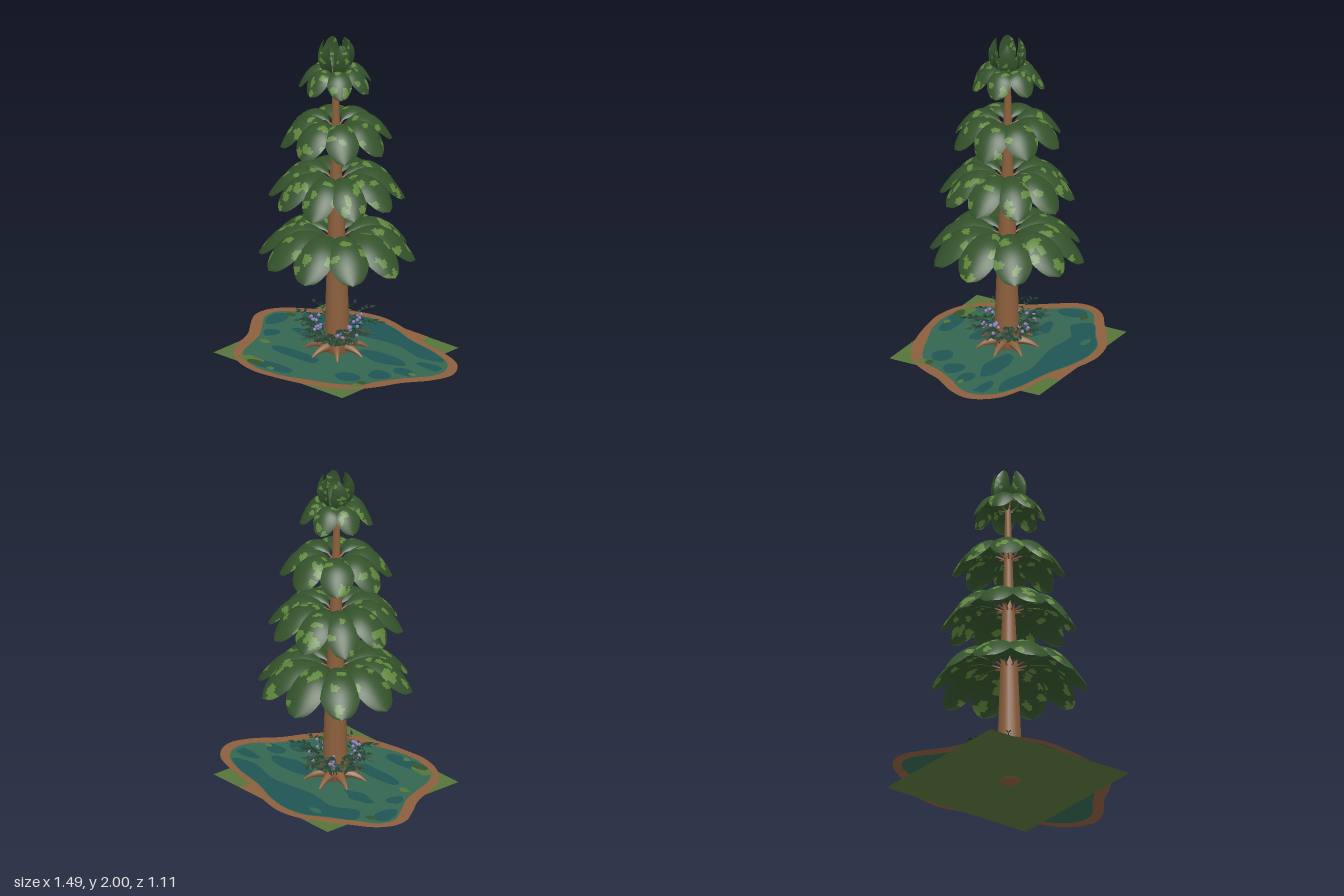
import * as THREE from 'three';
import { mergeGeometries } from 'three/addons/utils/BufferGeometryUtils.js';

const mat = (name, color, side = THREE.FrontSide) => {
  const m = new THREE.MeshStandardMaterial({ color, side });
  m.name = name;
  return m;
};
const D = THREE.DoubleSide;
const M = {
  bark: mat('bark brown', 0x8c5f3c),
  leafDark: mat('dark leaf green', 0x34522b),
  leafLight: mat('light leaf green', 0x5f853c),
  grass: mat('grass green', 0x57743a, D),
  mud: mat('mud brown', 0x8c5f3e, D),
  shallow: mat('shallow water', 0x346651, D),
  deep: mat('deep water', 0x205454, D),
  fern: mat('fern green', 0x22402d, D),
  flower: mat('flower violet', 0x8b7ab4),
};

let seed = 7;
const rand = (a = 0, b = 1) => {
  seed = (seed * 16807) % 2147483647;
  return a + (b - a) * seed / 2147483647;
};
const V = (x, y, z = 0) => new THREE.Vector3(x, y, z);
const mesh = (name, geo, material) => {
  const m = new THREE.Mesh(geo, material);
  m.name = name;
  return m;
};
const bend = (a, b, c) => new THREE.QuadraticBezierCurve3(a, b, c);

// Tube whose radius narrows from r0 to r1
function taperedTube(curve, r0, r1, n = 10, sides = 8) {
  const geo = new THREE.TubeGeometry(curve, n, 1, sides);
  const p = geo.attributes.position, v = V(0, 0);
  for (let k = 0; k < p.count; k++) {
    const t = Math.floor(k / (sides + 1)) / n, c = curve.getPointAt(t);
    v.fromBufferAttribute(p, k).sub(c).multiplyScalar(r0 + (r1 - r0) * t).add(c);
    p.setXYZ(k, v.x, v.y, v.z);
  }
  geo.computeVertexNormals();
  return geo;
}

// Thick curved leaf along a path in the xy plane, with light spots;
// the powers baseP and tipP set how fast it narrows at each end
function leafMesh(path, width, thick, curl, baseP, tipP) {
  const NU = 34, NV = 18, L = path.getLength(), pos = [], tris = [[], []];
  const spots = Array.from({ length: 6 }, () =>
    ({ u: rand(0.2, 1) * L, v: rand(-0.5, 0.5) * width, a: rand(0.1, 0.19) * width, b: rand(0.08, 0.12) * width, t: rand(0, 6) }));
  const shape = u => Math.pow(u, baseP) * Math.pow(1 - u, tipP);
  const scale = width / 2 / shape(baseP / (baseP + tipP));
  const half = u => scale * shape(u);
  const isSpot = (u, v) => spots.some(s => {
    const dx = u * L - s.u, dy = v * half(u) - s.v, c = Math.cos(s.t), n = Math.sin(s.t);
    return Math.hypot((dx * c + dy * n) / s.a, (dy * c - dx * n) / s.b) < 1 + 0.12 * Math.sin(3 * Math.atan2(dy, dx));
  });
  for (const side of [1, -1]) {
    const base = pos.length / 3;
    for (let i = 0; i <= NU; i++) {
      const u = i / NU, p = path.getPoint(u), t = path.getTangent(u), w = half(u);
      for (let j = 0; j <= NV; j++) {
        const v = j / NV * 2 - 1;
        const h = -curl * w * v * v + side * thick / 2 * (1 - v * v) * Math.sin(Math.PI * u);
        pos.push(p.x - t.y * h, p.y + t.x * h, v * w);
        if (i === NU || j === NV) continue;
        const a = base + i * (NV + 1) + j, b = a + 1, c = a + NV + 1, d = c + 1;
        const list = tris[isSpot((i + 0.5) / NU, (j + 0.5) / NV * 2 - 1) ? 1 : 0];
        if (side > 0) list.push(a, b, c, b, d, c);
        else list.push(a, c, b, b, c, d);
      }
    }
  }
  const geo = new THREE.BufferGeometry();
  geo.setAttribute('position', new THREE.Float32BufferAttribute(pos, 3));
  geo.setIndex([...tris[0], ...tris[1]]);
  geo.addGroup(0, tris[0].length, 0);
  geo.addGroup(tris[0].length, tris[1].length, 1);
  geo.computeVertexNormals();
  return mesh('leaf', geo, [M.leafDark, M.leafLight]);
}

// Smooth closed outline through [x, z] points
const outline = (pts, n = 120) => new THREE.CatmullRomCurve3(pts.map(([x, z]) => V(x, -z)), true)
  .getPoints(n).slice(0, n).map(p => new THREE.Vector2(p.x, p.y));
function flat(name, points, y, material, hole) {
  const shape = new THREE.Shape(points);
  if (hole) shape.holes.push(new THREE.Path(hole));
  return mesh(name, new THREE.ShapeGeometry(shape).rotateX(-Math.PI / 2).translate(0, y, 0), material);
}
function blob(name, [x, z, rx, rz], y, material) {
  const pts = Array.from({ length: 9 }, (_, i) => {
    const a = i / 9 * Math.PI * 2, k = rand(0.75, 1.1);
    return [x + Math.cos(a) * rx * k, z + Math.sin(a) * rz * k];
  });
  return flat(name, outline(pts, 40), y, material);
}

function ground() {
  const g = new THREE.Group();
  g.name = 'ground';
  const outer = outline([[-0.135, -0.56], [0.03, -0.53], [0.25, -0.45], [0.49, -0.40], [0.64, -0.34], [0.725, -0.24],
    [0.742, -0.16], [0.70, -0.04], [0.60, 0.10], [0.535, 0.24], [0.47, 0.34], [0.34, 0.44], [0.18, 0.50],
    [-0.015, 0.54], [-0.175, 0.553], [-0.335, 0.51], [-0.455, 0.42], [-0.52, 0.30], [-0.575, 0.16], [-0.675, 0.02],
    [-0.735, -0.08], [-0.737, -0.18], [-0.675, -0.28], [-0.555, -0.365], [-0.435, -0.45], [-0.295, -0.53]]);
  const inner = outline([[-0.135, -0.505], [0.025, -0.48], [0.2, -0.42], [0.46, -0.365], [0.60, -0.30], [0.67, -0.20],
    [0.66, -0.10], [0.56, 0.04], [0.48, 0.18], [0.44, 0.28], [0.32, 0.37], [0.14, 0.44], [0, 0.49],
    [-0.175, 0.505], [-0.315, 0.465], [-0.415, 0.38], [-0.46, 0.26], [-0.515, 0.12], [-0.61, -0.01],
    [-0.68, -0.12], [-0.66, -0.22], [-0.535, -0.305], [-0.395, -0.40], [-0.275, -0.48]]);
  const square = (x0, x1, z0, z1) => [[x0, z0], [x1, z0], [x1, z1], [x0, z1]].map(([x, z]) => new THREE.Vector2(x, -z));
  g.add(flat('grassSquare', square(-0.54, 0.488, -0.524, 0.5), 0.008, M.grass));
  g.add(flat('mudPatch', square(0.03, 0.25, -0.524, -0.44), 0.0095, M.mud));
  g.add(flat('pondRim', outer, 0.011, M.mud, inner));
  g.add(flat('pondWater', inner, 0.011, M.shallow));
  // Deep water along the back, then scattered pools
  g.add(flat('deepWater', outline([[-0.53, -0.3], [-0.39, -0.395], [-0.275, -0.474], [-0.135, -0.5], [0.025, -0.475],
    [0.2, -0.414], [0.46, -0.36], [0.57, -0.3], [0.44, -0.25], [0.2, -0.3], [-0.1, -0.26], [-0.3, -0.28], [-0.45, -0.2]]), 0.0125, M.deep));
  for (const b of [[0.56, -0.19, 0.1, 0.04], [0.5, -0.03, 0.09, 0.045], [0.42, 0.1, 0.08, 0.06], [-0.6, -0.13, 0.06, 0.1],
    [-0.48, 0.05, 0.05, 0.06], [-0.14, 0.43, 0.16, 0.055], [0.3, 0.25, 0.09, 0.07], [-0.15, 0.2, 0.2, 0.05],
    [0.25, -0.1, 0.18, 0.07], [-0.32, -0.08, 0.13, 0.05]]) g.add(blob('deepWater', b, 0.0125, M.deep));
  g.add(blob('shallowPatch', [-0.28, -0.39, 0.05, 0.025], 0.014, M.shallow));
  for (const b of [[0.56, -0.03, 0.03, 0.02], [-0.42, 0.18, 0.04, 0.025], [-0.3, 0.43, 0.09, 0.04],
    [0.43, 0.31, 0.035, 0.03], [-0.12, 0.46, 0.03, 0.02]]) g.add(blob('pondWeed', b, 0.0145, M.grass));
  for (const b of [[-0.25, 0.45, 0.06, 0.03], [-0.57, -0.215, 0.04, 0.025], [0.43, 0.265, 0.03, 0.025]])
    g.add(blob('darkPondWeed', b, 0.016, M.leafDark));
  return g;
}

function undergrowth() {
  const g = new THREE.Group();
  g.name = 'undergrowth';
  const blade = new THREE.ShapeGeometry(new THREE.Shape([[0, 0], [0.02, 0.011], [0.052, 0], [0.02, -0.011]]
    .map(p => new THREE.Vector2(...p)))).rotateX(-Math.PI / 2);
  for (let i = 0; i < 22; i++) {
    const a = i / 22 * Math.PI * 2 + rand(-0.12, 0.12), low = i % 2;
    const r = low ? rand(0.16, 0.21) : rand(0.2, 0.255), y = low ? rand(0.11, 0.17) : rand(0.18, 0.25);
    const path = bend(V(0.06, 0.03), V(0.11, y + 0.03), V(r, y));
    const parts = [taperedTube(path, 0.003, 0.0015, 8, 4)];
    for (let k = 2; k <= 8; k++) for (const s of [1, -1]) {
      const p = path.getPoint(k / 8);
      parts.push(blade.clone().rotateX(s * 0.5).rotateZ(rand(-0.3, 0.15)).rotateY(s * (k === 8 ? 0.3 : 0.9)).translate(p.x, p.y, p.z));
    }
    const frond = mesh('fernFrond', mergeGeometries(parts), M.fern);
    frond.rotation.y = a;
    g.add(frond);
    // Clumps of blossoms beside some fronds
    if (i % 4 === 0) for (let k = 0; k < 6; k++) {
      const f = mesh('blossom', new THREE.IcosahedronGeometry(0.011, 1), M.flower), b = a + rand(-0.18, 0.18), q = rand(0.11, 0.17);
      f.position.set(Math.cos(b) * q, rand(0.15, 0.21), -Math.sin(b) * q);
      g.add(f);
    }
  }
  return g;
}

export function createModel() {
  const model = new THREE.Group();
  model.name = 'tieredTreeOnPond';
  model.add(ground());

  // Trunk, leaning very slightly to one side
  const lean = y => -0.014 - 0.008 * y;
  const profile = [[0, 0], [0.055, 0], [0.075, 0.02], [0.076, 0.08], [0.072, 0.2], [0.066, 0.4], [0.055, 0.7],
    [0.045, 0.95], [0.031, 1.25], [0.024, 1.5], [0.019, 1.7], [0.015, 1.83], [0, 1.84]];
  const trunk = new THREE.LatheGeometry(profile.map(p => new THREE.Vector2(...p)), 18);
  const tp = trunk.attributes.position;
  for (let k = 0; k < tp.count; k++) tp.setX(k, tp.getX(k) + lean(tp.getY(k)));
  trunk.translate(0, 0, -0.01);
  model.add(mesh('trunk', trunk, M.bark));

  const tree = new THREE.Group();
  tree.name = 'rootsAndFoliage';
  tree.position.z = -0.01;
  model.add(tree);

  // Spreading roots
  for (let i = 0; i < 7; i++) {
    const root = mesh('root', taperedTube(bend(V(0.03, 0.05), V(0.13, 0.06), V(0.188, 0.012)), 0.036, 0.006), M.bark);
    root.rotation.y = i / 7 * Math.PI * 2 + 0.1;
    root.position.x = -0.022;
    tree.add(root);
  }
  const plants = undergrowth();
  plants.position.x = -0.025;
  tree.add(plants);

  // Drooping leaf tiers: count, start angle, inner radius, reach, top height, drop, width
  const tiers = [
    [10, 0, 0.06, 0.468, 0.802, 0.195, 0.25],
    [10, 0.06, 0.05, 0.405, 1.17, 0.18, 0.215],
    [8, 0.1, 0.045, 0.335, 1.508, 0.168, 0.21],
    [7, 0.2, 0.03, 0.222, 1.83, 0.138, 0.155],
  ];
  for (const [count, start, r0, r1, top, drop, width] of tiers) {
    const tier = new THREE.Group();
    tier.name = 'leafTier';
    tier.position.x = lean(top) + 0.004;
    for (let i = 0; i < count; i++) {
      const y0 = top - drop * 0.25, y1 = top - drop + rand(-0.012, 0.018);
      const leaf = leafMesh(bend(V(r0, y0), V((r0 + r1) * 0.52, top + drop * 0.5), V(r1, y1)), width, width * 0.1, 0.26, 0.95, 0.5);
      const twig = mesh('twig', taperedTube(bend(V(0, y0 - 0.035), V(r0 / 2, y0 - 0.02), V(r0 * 1.7, y0 + 0.004)), 0.008, 0.004, 5, 6), M.bark);
      leaf.rotation.y = twig.rotation.y = start + i / count * Math.PI * 2;
      tier.add(leaf, twig);
    }
    tree.add(tier);
  }

  // Upright crown of pointed leaves
  const crown = new THREE.Group();
  crown.name = 'crown';
  crown.position.x = -0.022;
  for (let i = 0; i < 6; i++) {
    const leaf = leafMesh(bend(V(0.02, 1.76), V(0.115, 1.87), V(0.074, 2)), 0.1, 0.012, 0.3, 0.8, 0.7);
    leaf.rotation.y = i / 6 * Math.PI * 2 + Math.PI / 6;
    crown.add(leaf);
  }
  tree.add(crown);
  return model;
}
